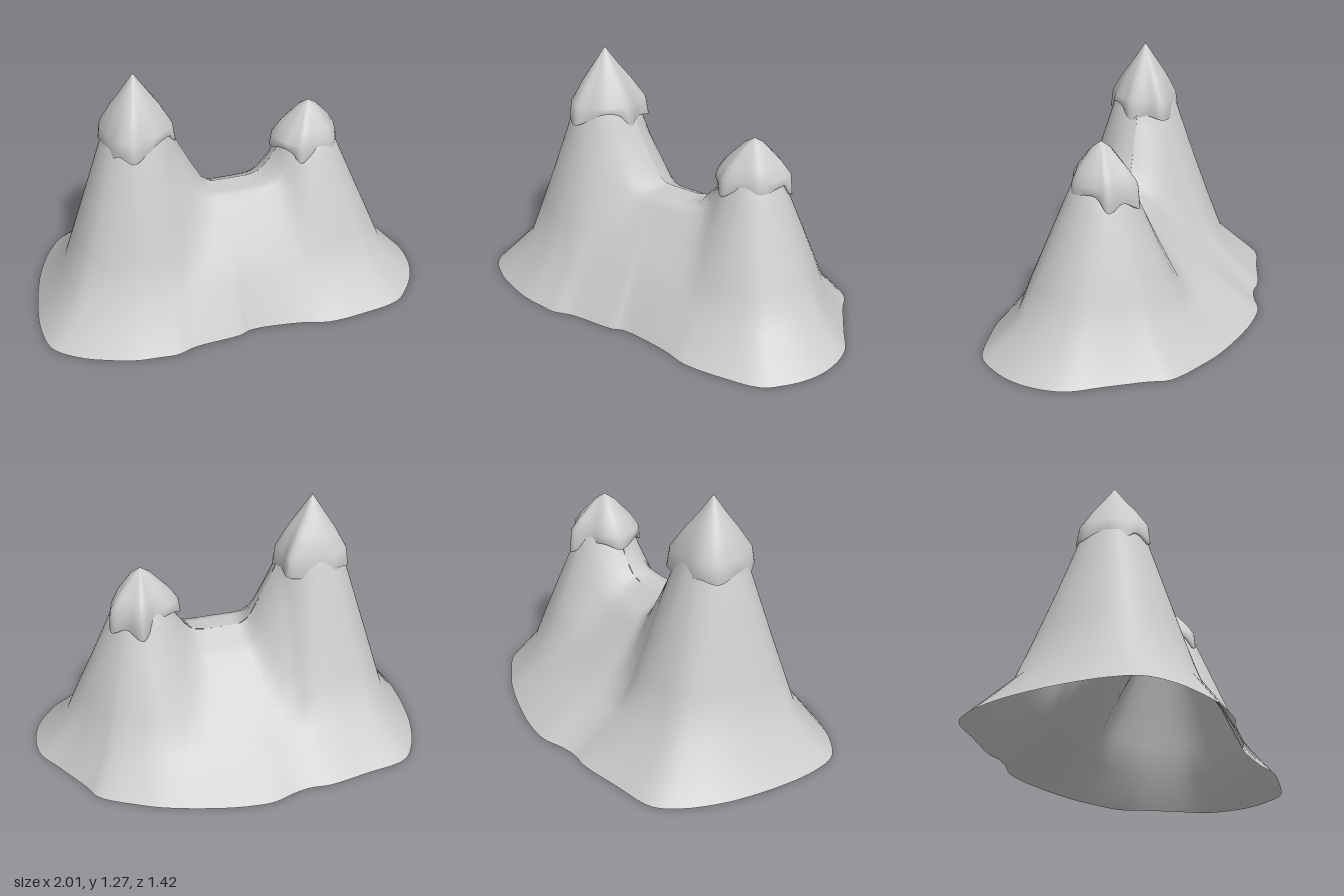
import * as THREE from 'three';

const SEG = 160;
const PEAK_A = new THREE.Vector2(-0.43, 0.14);
const PEAK_B = new THREE.Vector2(0.41, -0.13);
const BASE_R = 0.57, SKIRT_R = 0.41;

// Footprint corners [x, z]
const FOOTPRINT = [
  [-1, 0], [-0.98, -0.18], [-0.92, -0.32], [-0.72, -0.43], [-0.52, -0.53], [-0.43, -0.55], [-0.35, -0.59],
  [-0.25, -0.66], [-0.15, -0.69], [0, -0.71], [0.27, -0.71], [0.4, -0.69], [0.61, -0.63], [0.68, -0.55],
  [0.83, -0.4], [0.95, -0.28], [1, -0.13], [1, 0], [0.96, 0.13], [0.9, 0.23], [0.72, 0.33], [0.54, 0.4],
  [0.4, 0.41], [0.14, 0.47], [0.09, 0.51], [-0.13, 0.6], [-0.22, 0.66], [-0.3, 0.68], [-0.42, 0.705],
  [-0.58, 0.705], [-0.7, 0.69], [-0.84, 0.63], [-0.92, 0.49], [-0.97, 0.3], [-0.995, 0.12],
];

// Ragged cap rims [x, z, y]
const RIM_A = [
  [-0.62, 0.1, 0.91], [-0.57, 0.02, 0.93], [-0.47, -0.02, 0.9], [-0.31, -0.04, 0.9], [-0.28, 0.04, 0.92],
  [-0.24, 0.12, 0.9], [-0.26, 0.18, 0.96], [-0.3, 0.25, 0.97], [-0.36, 0.3, 0.93], [-0.42, 0.35, 0.9],
  [-0.49, 0.33, 0.93], [-0.54, 0.28, 0.89], [-0.58, 0.22, 0.94],
];
const RIM_B = [
  [0.39, -0.33, 0.7], [0.47, -0.29, 0.74], [0.55, -0.26, 0.71], [0.56, -0.2, 0.78], [0.56, -0.13, 0.78],
  [0.54, -0.05, 0.75], [0.46, 0, 0.78], [0.38, 0.05, 0.73], [0.33, 0.03, 0.78], [0.28, 0, 0.79],
  [0.22, -0.1, 0.75], [0.25, -0.18, 0.78], [0.33, -0.24, 0.76],
];

// Skin a list of closed rings, ordered from the outside in
function loft(name, rings) {
  const n = rings[0].length, index = [];
  for (let i = 0; i < rings.length - 1; i++) {
    for (let j = 0; j < n; j++) {
      const k = (j + 1) % n;
      const a = i * n + j, b = i * n + k, c = a + n, d = b + n;
      index.push(a, c, b, b, c, d);
    }
  }
  const geometry = new THREE.BufferGeometry().setFromPoints(rings.flat());
  geometry.setIndex(index);
  geometry.computeVertexNormals();
  const mesh = new THREE.Mesh(geometry, new THREE.MeshStandardMaterial({ color: 0xcccccc, side: THREE.DoubleSide }));
  mesh.name = name;
  return mesh;
}

function closedCurve(points, count) {
  const curve = new THREE.CatmullRomCurve3(points.map(([x, z, y = 0]) => new THREE.Vector3(x, y, z)), true);
  return Array.from({ length: count }, (_, i) => curve.getPoint(i / count));
}

// Peak that falls gently from its tip to the shoulder, then steeply to the foot
function cone(d, tipY, shoulderR, shoulderY, footY) {
  return d < shoulderR
    ? THREE.MathUtils.mapLinear(d, 0, shoulderR, tipY, shoulderY)
    : THREE.MathUtils.mapLinear(d, shoulderR, SKIRT_R, shoulderY, footY);
}

// Distance along the ridge, shortened outside the cap so the cones stretch towards each other
const along = (s) => s - Math.max(0, s - 0.17) * 0.35;

// Height at distance s along the ridge and q away from it; back runs from -1 (front) to 1 (rear)
function height(s, q, length, back) {
  const u = s / length;
  const foot = THREE.MathUtils.lerp(0.2, 0.16, u) + 0.24 * u * (1 - u) * Math.max(0, -back);
  if (q >= SKIRT_R) return foot * (BASE_R - q) / (BASE_R - SKIRT_R);
  // saddle: level towards the front, falling towards the rear
  const brow = 0.14, browY = 0.6 - 0.08 * Math.max(0, back);
  const saddle = q < brow
    ? THREE.MathUtils.mapLinear(q, 0, brow, 0.605, browY)
    : THREE.MathUtils.mapLinear(q, brow, SKIRT_R, browY, foot);
  const a = cone(Math.hypot(along(s), q), 1.24, 0.15, 1, 0.2);
  const b = cone(Math.hypot(along(length - s), q), 0.97, 0.13, 0.815, 0.16);
  const k = 0.03; // soft blend between the two cones and the saddle
  return k * Math.log(Math.exp(a / k) + Math.exp(b / k) + Math.exp(saddle / k));
}

// Hollow twin-peaked body
function mountain() {
  const ridge = PEAK_B.clone().sub(PEAK_A), length = ridge.length();
  ridge.normalize();
  const spokes = closedCurve(FOOTPRINT, SEG).map((p) => {
    const foot = new THREE.Vector2(p.x, p.z);
    const s = THREE.MathUtils.clamp(foot.clone().sub(PEAK_A).dot(ridge), 0, length);
    const centre = PEAK_A.clone().addScaledVector(ridge, s);
    const dir = foot.sub(centre);
    const reach = dir.length();
    return { s, centre, reach, dir: dir.normalize() };
  });
  const levels = [BASE_R, SKIRT_R, 0.34, 0.27, 0.21, 0.17, 0.14, 0.1, 0.05, 0];
  return loft('mountain', levels.map((q) => spokes.map(({ s, centre, reach, dir }) => {
    // circular near the top, following the footprint at the base
    const r = q * THREE.MathUtils.lerp(1, reach / BASE_R, (q / BASE_R) ** 2);
    return new THREE.Vector3(centre.x + dir.x * r, height(s, q, length, -dir.y), centre.y + dir.y * r);
  })));
}

// Pointed cap with a ragged lip; profile holds [radius fraction, height]
function cap(name, peak, rim, profile) {
  const edge = closedCurve(rim, 78).map((p) => {
    const offset = new THREE.Vector2(p.x, p.z).sub(peak);
    return { y: p.y, angle: offset.angle(), radius: offset.length() };
  });
  const mean = edge.reduce((sum, e) => sum + e.radius, 0) / edge.length;
  // rings grow rounder towards the tip
  const ring = (f, y) => edge.map((e) => {
    const r = f * THREE.MathUtils.lerp(mean, e.radius, f);
    return new THREE.Vector3(peak.x + r * Math.cos(e.angle), y ?? e.y, peak.y + r * Math.sin(e.angle));
  });
  return loft(name, [ring(0.9), ring(1), ...profile.map(([f, y]) => ring(f, y))]);
}

export function createModel() {
  const group = new THREE.Group();
  group.name = 'twinPeakMountain';
  group.add(
    mountain(),
    cap('tallPeakCap', PEAK_A, RIM_A, [[0.94, 1], [0.64, 1.1], [0.36, 1.175], [0, 1.275]]),
    cap('shortPeakCap', PEAK_B, RIM_B, [[0.95, 0.82], [0.75, 0.875], [0.3, 0.965], [0, 1]]),
  );
  return group;
}
